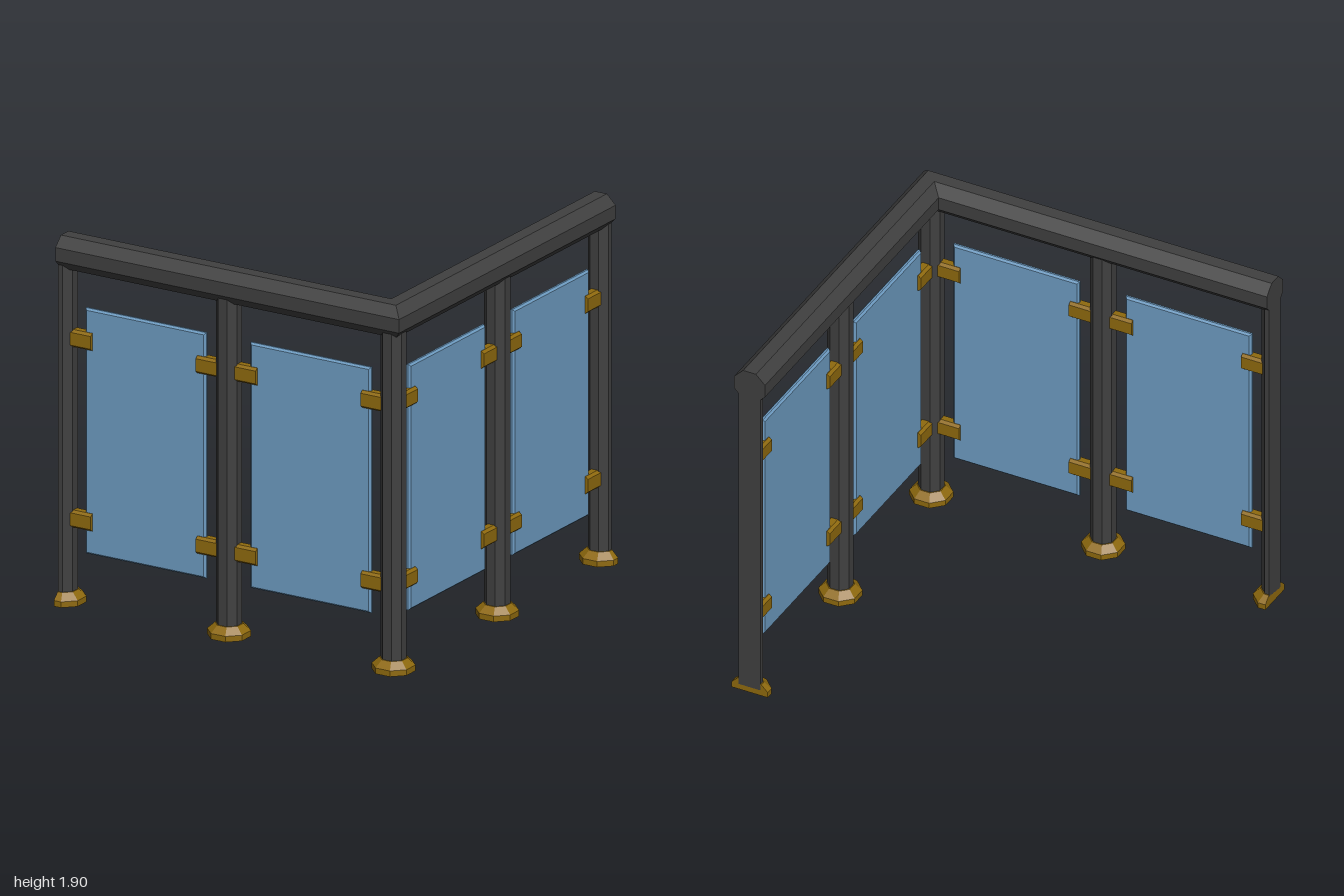
import * as THREE from 'three';

const metal = new THREE.MeshStandardMaterial({ color: 0x404040 });
metal.name = 'dark metal';
const brass = new THREE.MeshStandardMaterial({ color: 0x8f6a0e });
brass.name = 'brass';
const glass = new THREE.MeshStandardMaterial({ color: 0x6d9bc1 });
glass.name = 'blue glass';

const CORNER = 0.895; // x and z of the corner post
const RUN = 1.895; // length of each arm from the corner post

// Closed flat-shaded solid through rings of equal point count, capped at both ends
function loft(rings) {
  const tris = [];
  const n = rings[0].length;
  for (let r = 0; r < rings.length - 1; r++) {
    for (let i = 0; i < n; i++) {
      const j = (i + 1) % n;
      const [a, b, c, d] = [rings[r][i], rings[r][j], rings[r + 1][j], rings[r + 1][i]];
      tris.push([a, b, c], [a, c, d]);
    }
  }
  const first = rings[0], last = rings[rings.length - 1];
  for (let i = 1; i < n - 1; i++) {
    tris.push([first[0], first[i + 1], first[i]], [last[0], last[i], last[i + 1]]);
  }
  // turn the faces outward whatever the ring direction
  const volume = tris.reduce((v, [a, b, c]) => v
    + a[0] * (b[1] * c[2] - b[2] * c[1])
    + a[1] * (b[2] * c[0] - b[0] * c[2])
    + a[2] * (b[0] * c[1] - b[1] * c[0]), 0);
  if (volume < 0) tris.forEach((t) => t.reverse());
  const geometry = new THREE.BufferGeometry();
  geometry.setAttribute('position', new THREE.Float32BufferAttribute(tris.flat(2), 3));
  geometry.computeVertexNormals();
  return geometry;
}

// Octagon with half width a; the half version keeps only u >= 0
function octagon(a, half = false) {
  const t = a * 0.414;
  const side = [[t, -a], [a, -t], [a, t], [t, a]];
  return half
    ? [[0, -a], ...side, [0, a]]
    : [...side, ...side.map(([u, v]) => [-u, -v])];
}

function add(parent, name, geometry, material, x = 0, y = 0, z = 0) {
  const mesh = new THREE.Mesh(geometry, material);
  mesh.name = name;
  mesh.position.set(x, y, z);
  parent.add(mesh);
}

// Upright post with its flared foot
function addPost(parent, name, x, z, half = false) {
  const ring = (a, y) => octagon(a, half).map(([u, v]) => [u, y, v]);
  add(parent, name, loft([ring(0.06, 0.03), ring(0.06, 1.8)]), metal, x, 0, z);
  add(parent, name + 'Foot', loft([ring(0.1, 0), ring(0.1, 0.03), ring(0.065, 0.065)]), brass, x, 0, z);
}

// Glass pane with a narrow bevel round both faces
function paneGeometry(w, h, depth, bevel) {
  const ring = (inset, z) => [[-1, -1], [1, -1], [1, 1], [-1, 1]]
    .map(([sx, sy]) => [sx * (w / 2 - inset), sy * (h / 2 - inset), z]);
  const d = depth / 2;
  return loft([ring(bevel, -d), ring(0, -d + bevel), ring(0, d - bevel), ring(bevel, d)]);
}

// Clamp block with chamfered long edges
function clampGeometry(length, h, depth) {
  const y = h / 2, z = depth / 2, cy = 0.012, cz = 0.015;
  const side = [[y - cy, z], [y, z - cz], [y, cz - z], [y - cy, -z]];
  const profile = [...side, ...side.map(([a, b]) => [-a, -b])];
  const ring = (x) => profile.map(([a, b]) => [x, a, b]);
  return loft([ring(-length / 2), ring(length / 2)]);
}

// One arm: runs along -x from the corner post
function createArm(name) {
  const arm = new THREE.Group();
  arm.name = name;
  addPost(arm, 'middlePost', -0.948, 0);
  addPost(arm, 'endPost', -RUN, 0, true);
  const pane = paneGeometry(0.695, 1.27, 0.03, 0.01);
  for (const x of [-0.473, -1.4225]) add(arm, 'glassPanel', pane, glass, x, 0.905, 0);
  const clamp = clampGeometry(0.125, 0.09, 0.065);
  for (const x of [-0.1075, -0.8375, -1.0575, -1.7875]) {
    for (const y of [0.44, 1.373]) add(arm, 'panelClamp', clamp, brass, x, y, 0);
  }
  arm.position.set(CORNER, 0, CORNER);
  return arm;
}

export function createModel() {
  const model = new THREE.Group();
  model.name = 'cornerRailing';

  const frontArm = createArm('frontArm');
  const sideArm = createArm('sideArm');
  sideArm.rotation.y = -Math.PI / 2;
  model.add(frontArm, sideArm);
  addPost(model, 'cornerPost', CORNER, CORNER);

  // Handrail mitred at the corner
  const profile = octagon(0.085).map(([u, v]) => [CORNER + u, 1.815 + v]);
  add(model, 'handrail', loft([
    profile.map(([p, y]) => [-1, y, p]),
    profile.map(([p, y]) => [p, y, p]),
    profile.map(([p, y]) => [p, y, -1]),
  ]), metal);

  return model;
}
